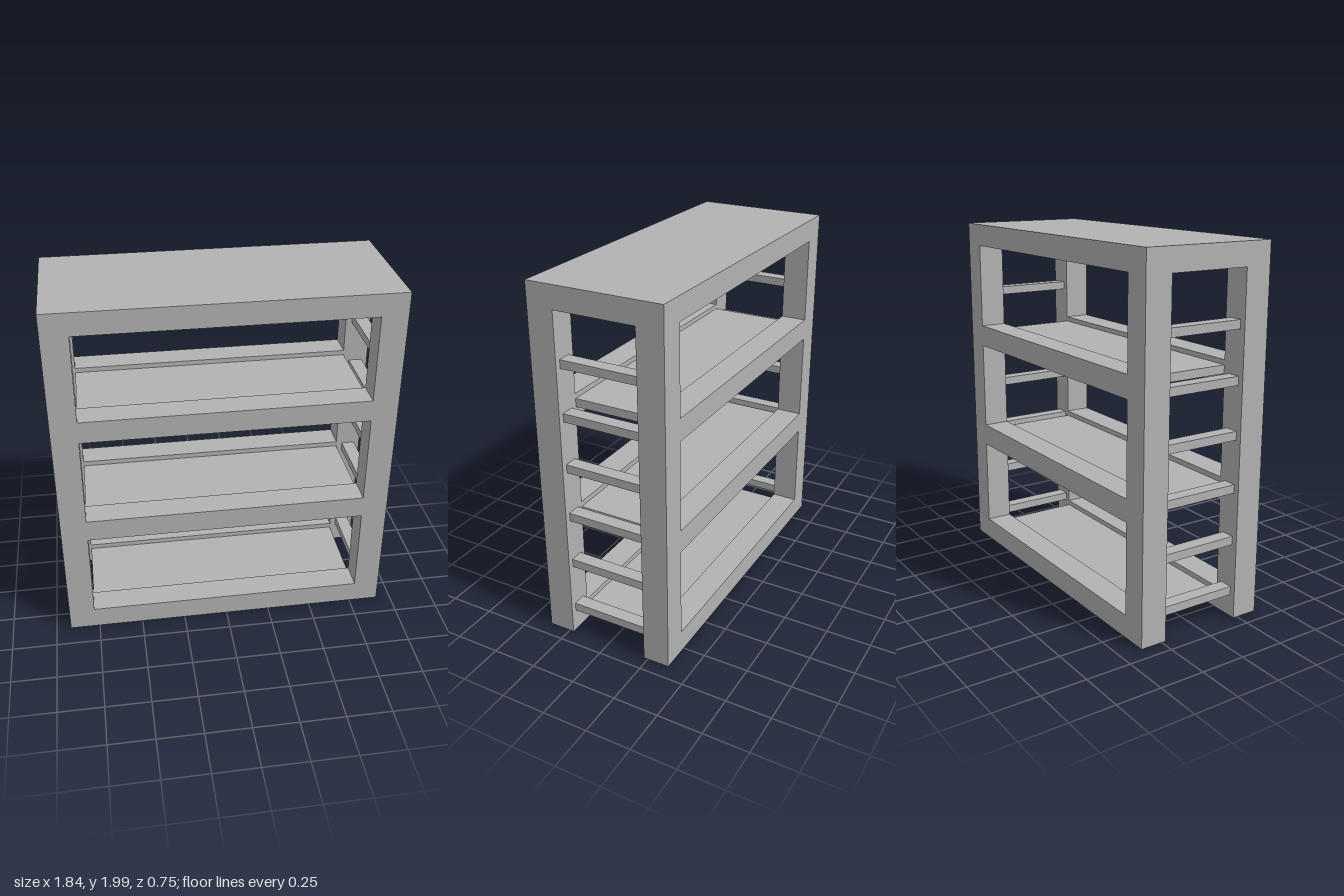
import * as THREE from 'three';

export function createModel() {
  const model = new THREE.Group();
  model.name = 'shelfUnit';
  const grey = new THREE.MeshStandardMaterial({ color: 0xb2b2b2 });
  grey.name = 'grey';

  const W = 0.918, D = 0.374, INNER = 0.226, OPEN = 0.775;
  const BOTTOM = 0.01, TOP = 2;

  const add = (name, geometry, x, y, z) => {
    const mesh = new THREE.Mesh(geometry, grey);
    mesh.name = name;
    mesh.position.set(x, y, z);
    model.add(mesh);
  };
  const box = (name, w, y0, y1, d, x = 0) =>
    add(name, new THREE.BoxGeometry(w, y1 - y0, d), x, (y0 + y1) / 2, 0);
  const rect = (path, x, y0, y1) => path
    .moveTo(-x, y0).lineTo(x, y0).lineTo(x, y1).lineTo(-x, y1).closePath();

  // Front and back frames, each with three openings
  const outline = new THREE.Shape();
  rect(outline, W, BOTTOM, TOP);
  for (const [y0, y1] of [[0.135, 0.64], [0.765, 1.27], [1.393, 1.875]]) {
    const hole = new THREE.Path();
    rect(hole, OPEN, y0, y1);
    outline.holes.push(hole);
  }
  const frame = new THREE.ExtrudeGeometry(outline, { depth: D - INNER, bevelEnabled: false });
  add('frontFrame', frame, 0, 0, INNER);
  add('backFrame', frame, 0, 0, -D);

  // Solid top between the frames
  box('topPanel', 2 * W, 1.875, TOP, 2 * INNER);

  // Shelves
  for (let i = 0; i < 3; i++) {
    const y = 0.06 + i * 0.63;
    box('shelf', 2 * OPEN, y, y + 0.046, 2 * INNER);
  }

  // Side slats joining the posts
  for (const side of [-1, 1]) {
    for (let i = 0; i < 6; i++) {
      const y = 0.133 + i * 0.287;
      box(side > 0 ? 'leftSlat' : 'rightSlat', 0.075, y, y + 0.047, 2 * INNER, side * 0.848);
    }
  }
  return model;
}
